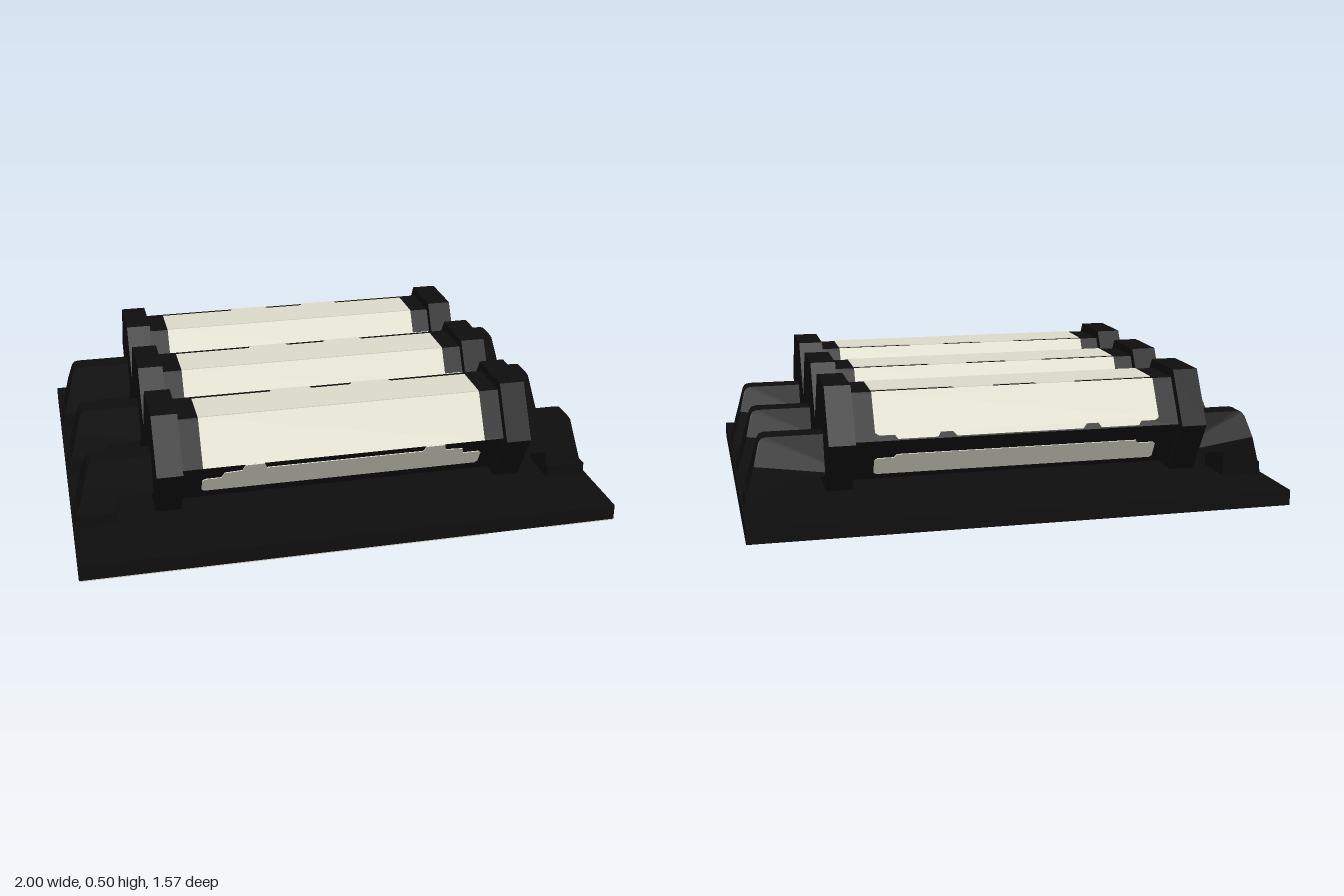
import * as THREE from 'three';

const black = new THREE.MeshStandardMaterial({ color: 0x0e0e0e });
black.name = 'black';
const cream = new THREE.MeshStandardMaterial({ color: 0xdfdecd });
cream.name = 'cream';

const CY = 0.303;                       // roller axis height
const R = 0.185;                        // roller radius
const APOTHEM = R * Math.cos(Math.PI / 6);
const H = R / 2;                        // half width of one roller face

function add(parent, name, geometry, material, x = 0, y = 0, z = 0) {
  const mesh = new THREE.Mesh(geometry, material);
  mesh.name = name;
  mesh.position.set(x, y, z);
  parent.add(mesh);
  return mesh;
}

function faceted(geometry) {
  const g = geometry.index ? geometry.toNonIndexed() : geometry;
  g.computeVertexNormals();
  return g;
}

// six-sided bar lying along x, with flats on top and bottom
const hexBar = (r, length) =>
  faceted(new THREE.CylinderGeometry(r, r, length, 6).rotateZ(Math.PI / 2));

// thin plate from a right-hand outline, mirrored in x
function panelGeometry(half) {
  const left = half.map(([x, y]) => [-x, y]).reverse();
  const shape = new THREE.Shape([...half, ...left].map(([x, y]) => new THREE.Vector2(x, y)));
  return new THREE.ExtrudeGeometry(shape, { depth: 0.004, bevelEnabled: false });
}

// cream panels: angle of the roller face (degrees from the front) and half outline
const panels = [
  ['frontUpperPanel', 30, [[0.53, -H], [0.53, H]]],
  ['topPanel', 90, [[0.53, -H], [0.53, 0.072], [0.235, 0.072], [0.225, H], [0.085, H], [0.075, 0.072]]],
  ['backUpperPanel', 150, [[0.53, -H], [0.53, 0.062], [0.515, 0.072], [0.46, 0.072], [0.45, 0.088],
    [0.305, 0.088], [0.295, 0.07], [0.25, 0.07], [0.235, 0.088]]],
  ['backLowerPanel', 210, [[0.45, -0.025], [0.46, -0.01], [0.52, -0.01], [0.53, 0], [0.53, 0.06],
    [0.52, 0.068]].reverse()],
  ['frontLowerPanel', -30, [[0.52, -0.05], [0.53, -0.04], [0.53, 0.015], [0.52, 0.026], [0.46, 0.026],
    [0.45, 0.055], [0.385, 0.06], [0.375, H], [0.305, H], [0.295, 0.064]]],
].map(([name, angle, half]) => [name, THREE.MathUtils.degToRad(angle), panelGeometry(half)]);

// end support: slanted leg and arm, narrowing toward the top
function bracketGeometry() {
  const outline = [[0.6, 0.16], [0.835, 0.16], [0.835, 0.05], [0.995, 0.05], [0.952, 0.21],
    [0.932, 0.285], [0.922, 0.3], [0.905, 0.305], [0.6, 0.305]];
  const shape = new THREE.Shape(outline.map(([x, y]) => new THREE.Vector2(x, y)));
  const g = new THREE.ExtrudeGeometry(shape, { depth: 1, bevelEnabled: false });
  const p = g.attributes.position;
  for (let i = 0; i < p.count; i++) {
    const y = p.getY(i);
    const back = -0.085 + 0.045 * THREE.MathUtils.clamp((y - 0.21) / 0.095, 0, 1);
    const front = 0.07 - 0.025 * THREE.MathUtils.clamp((y - 0.06) / 0.245, 0, 1);
    p.setZ(i, p.getZ(i) > 0.5 ? front : back);
  }
  return faceted(g);
}

export function createModel() {
  const model = new THREE.Group();
  model.name = 'rollerBed';

  // base slab with thin plates underneath
  add(model, 'base', new THREE.BoxGeometry(2, 0.058, 1.57), black, 0, 0.033, 0);
  const plates = [[-1, 0.5, -0.59, 0.785], [0.5, 0.73, 0.195, 0.605], [0.73, 1, -0.59, 0.785]];
  for (const [x0, x1, z0, z1] of plates) {
    add(model, 'undersidePlate', new THREE.BoxGeometry(x1 - x0, 0.004, z1 - z0), cream,
      (x0 + x1) / 2, 0.002, (z0 + z1) / 2);
  }

  const core = hexBar(R, 1.22);
  const cap = hexBar(0.222, 0.095);
  const bracket = bracketGeometry();
  const foot = new THREE.BoxGeometry(0.15, 0.06, 0.175);

  for (const z of [0.43, -0.015, -0.46]) {
    // hexagonal roller with its panels
    const roller = new THREE.Group();
    roller.name = 'roller';
    roller.position.set(0, CY, z);
    model.add(roller);
    add(roller, 'rollerCore', core, black);
    for (const side of [-1, 1]) add(roller, 'endCap', cap, black, side * 0.6525);
    for (const [name, angle, geometry] of panels) {
      const d = APOTHEM - 0.001;
      add(roller, name, geometry, cream, 0, d * Math.sin(angle), d * Math.cos(angle))
        .rotation.x = -angle;
    }

    // supports at both ends, the far one turned and flipped to mirror the first
    for (const side of [-1, 1]) {
      const g = bracket.clone();
      if (side < 0) {
        g.scale(-1, 1, 1);
        const p = g.attributes.position;
        for (let i = 0; i < p.count; i += 3) {
          const a = new THREE.Vector3().fromBufferAttribute(p, i);
          const b = new THREE.Vector3().fromBufferAttribute(p, i + 1);
          p.setXYZ(i, b.x, b.y, b.z);
          p.setXYZ(i + 1, a.x, a.y, a.z);
        }
        g.computeVertexNormals();
      }
      add(model, 'bracket', g, black, 0, 0, z);
      add(model, 'bracketFoot', foot, black, side * 0.91, 0.08, z + 0.0025);
    }
  }
  return model;
}
